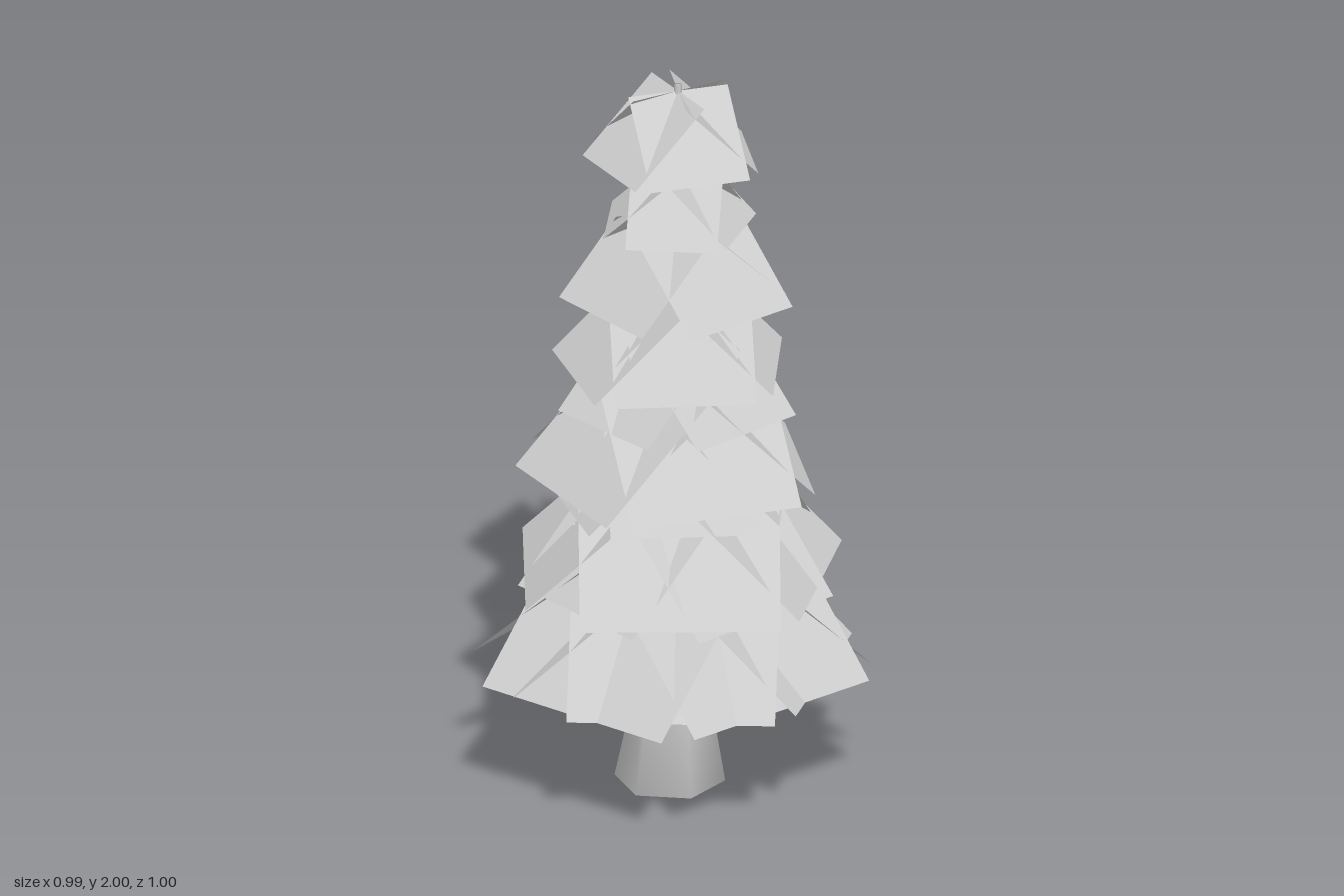
import * as THREE from 'three';

const rad = THREE.MathUtils.degToRad;
const bark = new THREE.MeshStandardMaterial({ color: 0xcccccc });
const needles = new THREE.MeshStandardMaterial({
  color: 0xcccccc, flatShading: true, side: THREE.DoubleSide,
});

// Four flat cards of one tier: angle around the trunk and foot radius (per unit width)
const CARDS = [[0, 0.765], [111, 0.7], [193, 0.725], [270, 0.77]];

// One sloping rectangular card, its top edge at the trunk axis; angle runs from +x towards +z
function makeCard(width, height, footRadius, angle) {
  const geo = new THREE.PlaneGeometry(width, Math.hypot(footRadius, height));
  geo.rotateX(-Math.atan2(footRadius, height));
  geo.translate(0, height / 2, footRadius / 2);
  geo.rotateY(rad(90 - angle));
  const card = new THREE.Mesh(geo, needles);
  card.name = 'branchCard';
  return card;
}

function makeTier(name, y, width, turn) {
  const tier = new THREE.Group();
  tier.name = name;
  tier.position.y = y;
  for (const [angle, r] of CARDS) {
    tier.add(makeCard(width, 0.7 * width, r * width, angle + turn));
  }
  return tier;
}

export function createModel() {
  const tree = new THREE.Group();
  tree.name = 'pineTree';

  // Six-sided trunk, flared at the foot and thin at the tip
  const profile = [[0, 0], [0.147, 0], [0.083, 0.34], [0.06, 0.55], [0.045, 0.9],
    [0.03, 1.4], [0.014, 1.75], [0.01, 2], [0, 2]].map(([r, y]) => new THREE.Vector2(r, y));
  const trunkGeo = new THREE.LatheGeometry(profile, 6);
  // The foot sits slightly off the axis of the tip
  const p = trunkGeo.attributes.position;
  for (let i = 0; i < p.count; i++) {
    const k = Math.max(0, 1 - p.getY(i) / 0.9);
    p.setX(i, p.getX(i) - 0.01 * k);
    p.setZ(i, p.getZ(i) + 0.022 * k);
  }
  const trunk = new THREE.Mesh(trunkGeo, bark);
  trunk.name = 'trunk';
  tree.add(trunk);

  // Two interleaved stacks of branch tiers: foot height, card width, turn
  const stacks = {
    outerTier: [
      [0.34, 0.595, 180], [0.6, 0.53, 141.5], [0.89, 0.467, 201.5],
      [1.19, 0.375, 215], [1.4, 0.345, 103], [1.79, 0.274, 202],
    ],
    innerTier: [
      [0.34, 0.55, 145], [0.575, 0.465, 102], [0.82, 0.4, 215],
      [1.08, 0.35, 100], [1.27, 0.285, 215], [1.6, 0.243, 148],
    ],
  };
  for (const [name, tiers] of Object.entries(stacks)) {
    tiers.forEach(([y, w, turn], i) => tree.add(makeTier(name + (i + 1), y, w, turn)));
  }
  return tree;
}
